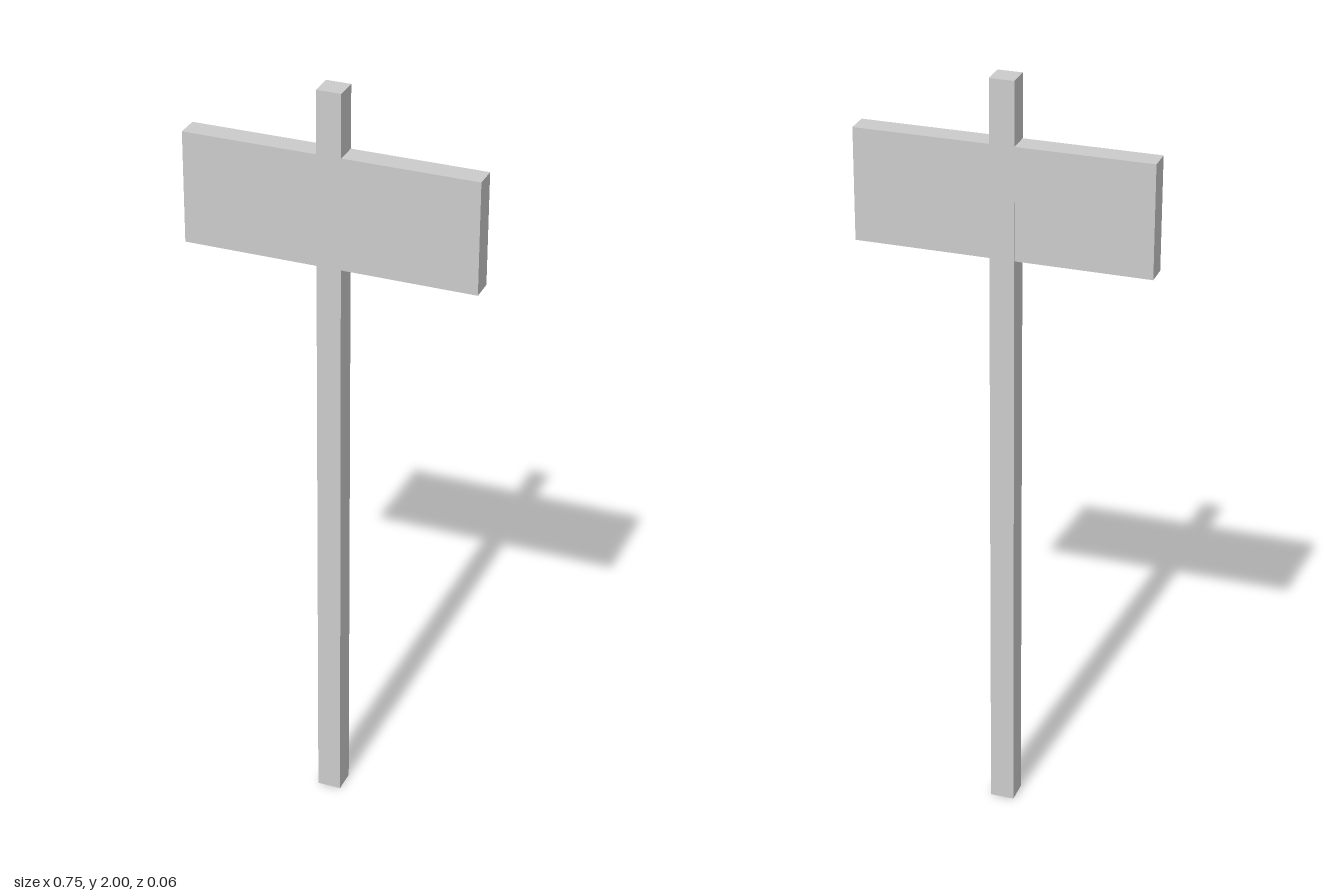
import * as THREE from 'three';

export function createModel() {
  const model = new THREE.Group();
  model.name = 'signpost';
  const material = new THREE.MeshStandardMaterial({ color: 0xcccccc, flatShading: true });

  const addBox = (name, width, height, depth, y) => {
    const mesh = new THREE.Mesh(new THREE.BoxGeometry(width, height, depth), material);
    mesh.name = name;
    mesh.position.y = y;
    model.add(mesh);
  };

  // Square post, full height
  addBox('post', 0.0625, 2, 0.0625, 1);
  // Board set around the post, a hair thinner than it
  addBox('signBoard', 0.75, 0.29, 0.06, 1.693);

  return model;
}
